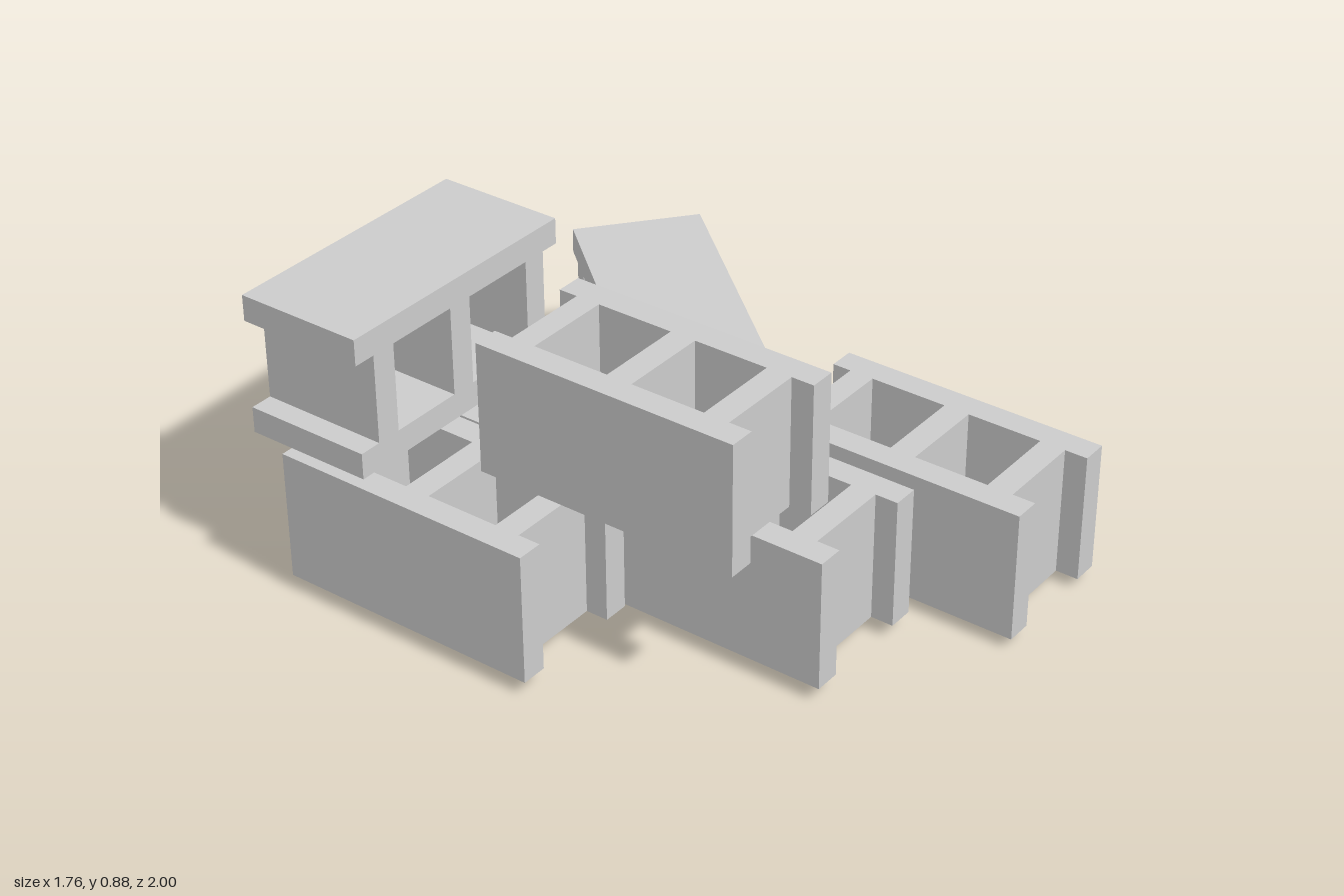
import * as THREE from 'three';

const W = 0.434, H = 0.402, L = 0.838; // block width, height, length
const WALL = 0.08;

// Cinder block: two side walls, three webs, two open cores; cores run along local y
function blockGeometry() {
  const w = W / 2, l = L / 2, i = w - WALL;
  const back = -0.36, front = 0.349;
  const shape = new THREE.Shape([
    [-w, -l], [-i, -l], [-i, back], [i, back], [i, -l], [w, -l],
    [w, l], [i, l], [i, front], [-i, front], [-i, l], [-w, l],
  ].map(([x, y]) => new THREE.Vector2(x, y)));
  for (const [a, b] of [[-0.284, -0.042], [0.038, 0.27]]) {
    shape.holes.push(new THREE.Path([[-i, a], [-i, b], [i, b], [i, a]].map(([x, y]) => new THREE.Vector2(x, y))));
  }
  const geo = new THREE.ExtrudeGeometry(shape, { depth: H, bevelEnabled: false });
  return geo.translate(0, 0, -H / 2).rotateX(Math.PI / 2);
}

export function createModel() {
  const group = new THREE.Group();
  const geo = blockGeometry();
  const mat = new THREE.MeshStandardMaterial({ color: 0xcccccc, flatShading: true });

  // yDir and zDir: where the block's core axis and length axis point
  const addBlock = (name, center, yDir = [0, 1, 0], zDir = [0, 0, 1]) => {
    const y = new THREE.Vector3(...yDir).normalize();
    const z = new THREE.Vector3(...zDir).normalize();
    const x = new THREE.Vector3().crossVectors(y, z);
    const mesh = new THREE.Mesh(geo, mat);
    mesh.name = name;
    mesh.quaternion.setFromRotationMatrix(new THREE.Matrix4().makeBasis(x, y, z));
    mesh.position.set(...center);
    group.add(mesh);
  };

  // Lower layer, cores upright
  addBlock('lowerBlockLeftFront', [0.286, 0.234, 0.581]);
  addBlock('lowerBlockMiddle', [-0.22, 0.245, 0.295]);
  addBlock('lowerBlockBack', [-0.22, 0.245, -0.581]);
  addBlock('lowerBlockRight', [-0.662, 0.245, -0.348]);

  // Upper layer: one upright, one on its side across the back
  addBlock('upperBlockUpright', [-0.405, 0.647, 0.143]);
  addBlock('upperBlockOnSide', [-0.425, 0.665, -0.703], [0, 0, -1], [-1, 0, 0]);

  // Block on its side, turned and tilted against the pile
  const a = Math.atan2(0.655, 0.535), tilt = 0.052;
  addBlock('leaningBlock', [0.45, 0.239, -0.453],
    [Math.sin(a), 0, Math.cos(a)],
    [Math.cos(a) * Math.cos(tilt), Math.sin(tilt), -Math.sin(a) * Math.cos(tilt)]);

  return group;
}
